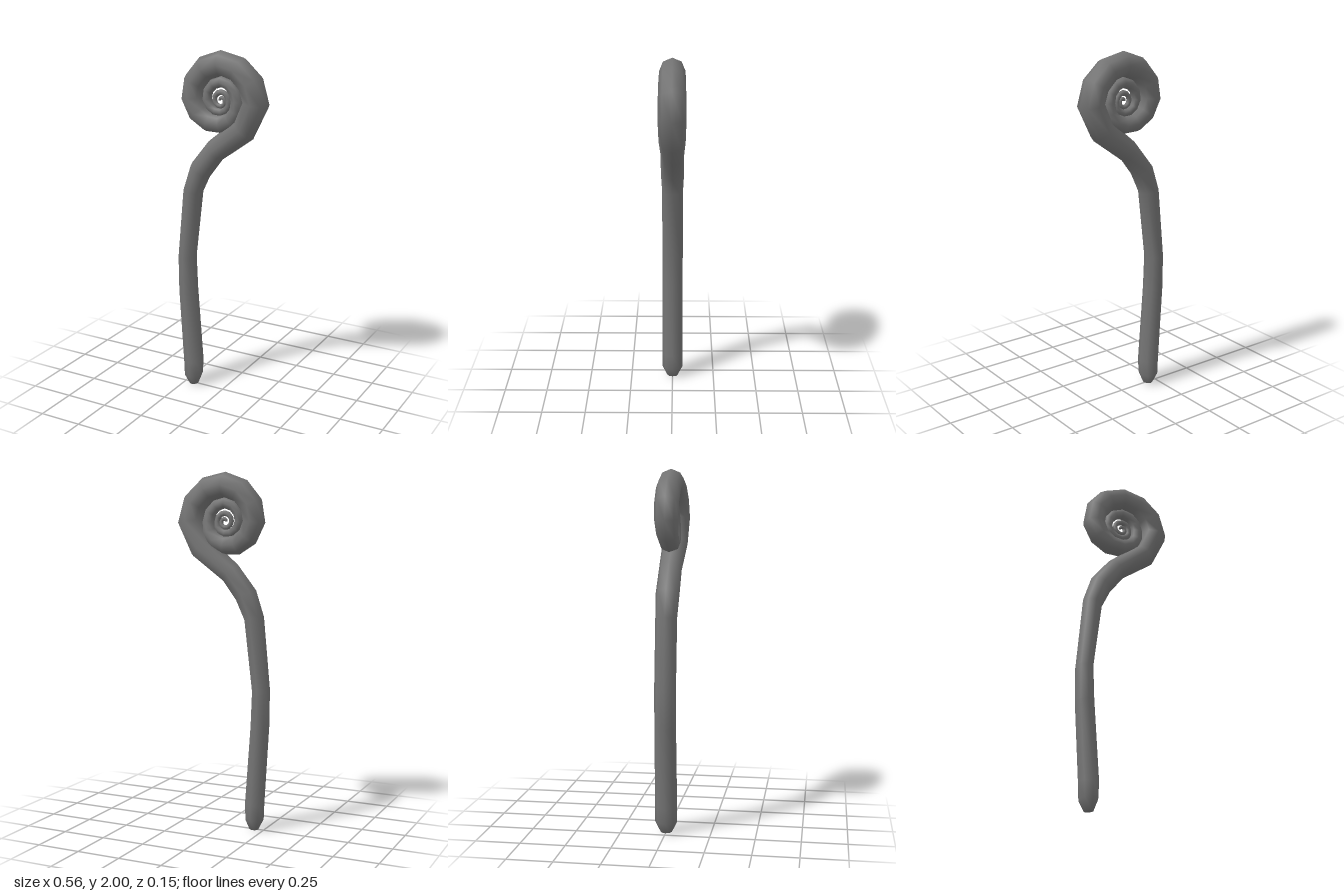
import * as THREE from 'three';

const SIDES = 8;

// Sweep a ring along stations [x, y, radius, depth] in the xy plane
function sweep(stations) {
  const positions = [], index = [];
  const n = stations.length;
  stations.forEach(([x, y, r, depth = r], i) => {
    const a = stations[Math.max(i - 1, 0)], b = stations[Math.min(i + 1, n - 1)];
    const len = Math.hypot(b[0] - a[0], b[1] - a[1]);
    const tx = (b[0] - a[0]) / len, ty = (b[1] - a[1]) / len;
    for (let s = 0; s < SIDES; s++) {
      const t = (s / SIDES) * Math.PI * 2;
      const c = Math.cos(t) * r;
      positions.push(x + ty * c, y - tx * c, -Math.sin(t) * depth);
    }
  });
  for (let i = 0; i < n - 1; i++) {
    for (let s = 0; s < SIDES; s++) {
      const a = i * SIDES + s, b = i * SIDES + (s + 1) % SIDES;
      index.push(a, b, a + SIDES, b, b + SIDES, a + SIDES);
    }
  }
  // End caps
  [0, n - 1].forEach((i) => {
    const centre = positions.length / 3;
    positions.push(stations[i][0], stations[i][1], 0);
    for (let s = 0; s < SIDES; s++) {
      const a = i * SIDES + s, b = i * SIDES + (s + 1) % SIDES;
      if (i === 0) index.push(centre, b, a);
      else index.push(centre, a, b);
    }
  });
  const g = new THREE.BufferGeometry();
  g.setAttribute('position', new THREE.Float32BufferAttribute(positions, 3));
  g.setIndex(index);
  g.computeVertexNormals();
  return g;
}

export function createModel() {
  const group = new THREE.Group();
  group.name = 'fiddleheadFrond';

  // Stem, from the rounded foot up to the start of the curl
  const stations = [
    [-0.192, 0, 0.026, 0.032], [-0.195, 0.06, 0.053, 0.062], [-0.195, 0.15, 0.058, 0.062],
    [-0.225, 0.6, 0.055, 0.06], [-0.23, 0.8, 0.051, 0.06], [-0.187, 1.2, 0.058, 0.06],
    [-0.138, 1.326, 0.066], [-0.043, 1.448, 0.064], [0.133, 1.583, 0.072],
  ];

  // Curl: [distance from the centre, tube radius] at every quarter turn
  const curl = [
    [0.21, 0.076], [0.2, 0.07], [0.176, 0.066], [0.13, 0.052],
    [0.097, 0.037], [0.102, 0.031], [0.087, 0.027], [0.066, 0.022],
    [0.045, 0.017], [0.045, 0.016], [0.041, 0.014], [0.034, 0.013],
    [0.02, 0.011], [0.013, 0.01], [0.008, 0.008],
  ];
  const cx = -0.008, cy = 1.73;
  const STEPS = 3;
  for (let k = 0; k <= (curl.length - 1) * STEPS; k++) {
    const i = Math.min(Math.floor(k / STEPS), curl.length - 2);
    const f = k / STEPS - i;
    const d = THREE.MathUtils.lerp(curl[i][0], curl[i + 1][0], f);
    const r = THREE.MathUtils.lerp(curl[i][1], curl[i + 1][1], f);
    const angle = (k / STEPS) * Math.PI / 2;
    stations.push([cx + d * Math.cos(angle), cy + d * Math.sin(angle), r]);
  }

  const frond = new THREE.Mesh(
    sweep(stations),
    new THREE.MeshStandardMaterial({ color: 0x747474 }),
  );
  frond.name = 'curledStem';
  group.add(frond);
  return group;
}
